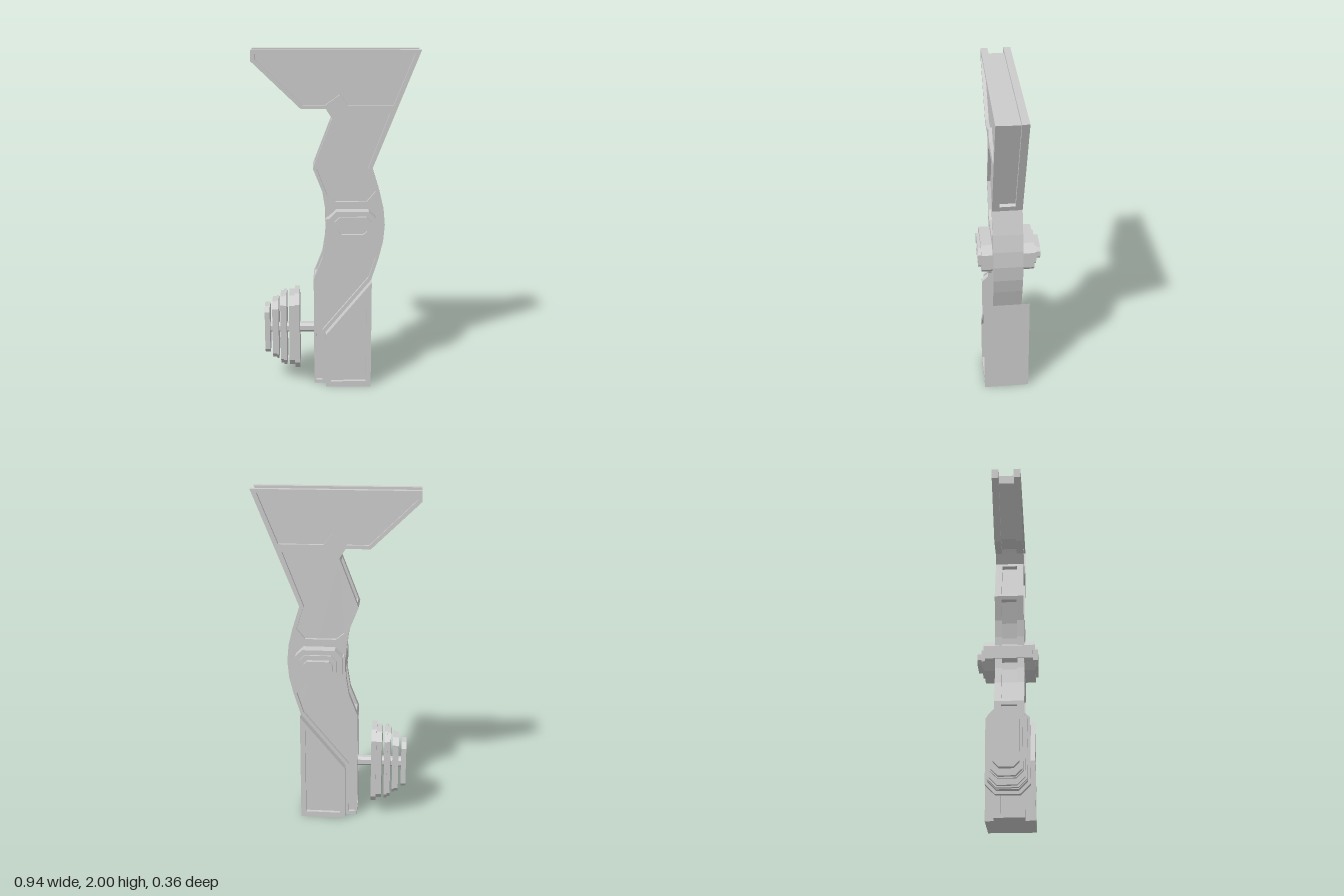
import * as THREE from 'three';

const material = new THREE.MeshStandardMaterial({ color: 0xcccccc });
const toPoints = (pts) => pts.map(([x, y]) => new THREE.Vector2(x, y));

// Flat slab with an outline in x/y, running from z0 to z1, with optional holes
function slab(name, outline, z0, z1, holes = []) {
  const shape = new THREE.Shape(toPoints(outline));
  holes.forEach((h) => shape.holes.push(new THREE.Path(toPoints(h))));
  const geometry = new THREE.ExtrudeGeometry(shape, { depth: z1 - z0, bevelEnabled: false });
  geometry.translate(0, 0, z0);
  const mesh = new THREE.Mesh(geometry, material);
  mesh.name = name;
  return mesh;
}

// Rectangle with cut corners
function octagon(cx, cy, hw, hh, c) {
  return [
    [cx - hw + c, cy - hh], [cx + hw - c, cy - hh], [cx + hw, cy - hh + c], [cx + hw, cy + hh - c],
    [cx + hw - c, cy + hh], [cx - hw + c, cy + hh], [cx - hw, cy + hh - c], [cx - hw, cy - hh + c],
  ];
}

// Points of a groove cut into the edge a-b (solid on the left of a-b), leaving a bar at each end
function groove(a, b, depth = 0.025, bar = 0.022) {
  const dx = b[0] - a[0], dy = b[1] - a[1], len = Math.hypot(dx, dy);
  const ux = dx / len, uy = dy / len;
  const at = (t, d) => [a[0] + ux * t - uy * d, a[1] + uy * t + ux * d];
  return [a, at(bar, 0), at(bar, depth), at(len - bar, depth), at(len - bar, 0)];
}

// Side outline of the arm, counter-clockwise from the bottom
const rightEdge = [[0.205, 0], [0.205, 0.665], [0.247, 0.8], [0.271, 0.9], [0.28, 1], [0.271, 1.1], [0.247, 1.2], [0.205, 1.335]];
const head = [[0.47, 2], [-0.475, 2], [-0.475, 1.94], [-0.2, 1.675], [-0.06, 1.675]];
const neck = [-0.025, 1.62], elbow = [-0.135, 1.335], knee = [-0.135, 0.665], foot = [-0.135, 0];
const waist = [[-0.082, 1.2], [-0.066, 1.1], [-0.06, 1], [-0.066, 0.9], [-0.082, 0.8]];
const outline = [...rightEdge, ...head, neck, elbow, ...waist, knee, foot];

// Middle layer: the same outline with grooves along its edges
const coreOutline = [
  ...rightEdge,
  [0.219, 1.37], [0.2, 1.378], [0.445, 1.985], [-0.43, 1.985], [-0.43, 1.93],
  [-0.19, 1.698], [-0.075, 1.698], [-0.06, 1.675],
  ...groove(neck, elbow),
  elbow, [-0.127, 1.315], [-0.104, 1.31], [-0.058, 1.19], [-0.041, 1.1], [-0.035, 1],
  [-0.041, 0.9], [-0.058, 0.81], [-0.104, 0.69], [-0.127, 0.685],
  ...groove(knee, foot),
  foot,
];

// Sunken panels on both faces of the arm
const panels = [
  [[-0.452, 1.98], [0.435, 1.98], [0.32, 1.695], [0.065, 1.695], [0.02, 1.755], [-0.065, 1.695], [-0.19, 1.695], [-0.452, 1.95]],
  [[0.06, 1.65], [0.3, 1.65], [0.18, 1.335], [0.225, 1.2], [0.175, 1.14], [-0.005, 1.14], [-0.055, 1.18], [-0.115, 1.335], [0, 1.61]],
  [[-0.122, 0.02], [-0.085, 0.02], [-0.085, 0.345], [0.19, 0.68], [0.228, 0.8], [0.175, 0.875], [-0.01, 0.875], [-0.058, 0.82], [-0.122, 0.66]],
];

export function createModel() {
  const model = new THREE.Group();
  model.name = 'bracketArm';

  // Arm: grooved core between two panelled plates
  model.add(
    slab('armCore', coreOutline, -0.03, 0.06),
    slab('frontPlate', outline, 0.06, 0.08),
    slab('frontPanelFrame', outline, 0.08, 0.1, panels),
    slab('backPlate', outline, -0.05, -0.03),
    slab('backPanelFrame', outline, -0.07, -0.05, panels),
  );

  // Wide base block with a sunken panel on each face
  const base = [[-0.065, 0], [0.205, 0], [0.205, 0.665], [-0.065, 0.335]];
  const basePanel = [[-0.035, 0.035], [0.175, 0.035], [0.175, 0.585], [-0.035, 0.325]];
  model.add(
    slab('baseBlock', base, -0.1, 0.135),
    slab('baseFrontFrame', base, 0.135, 0.155, [basePanel]),
    slab('baseBackFrame', base, -0.12, -0.1, [basePanel]),
  );

  // Stepped pivot boss through the middle
  const ring = octagon(0.093, 1.003, 0.107, 0.065, 0.03);
  const cap = octagon(0.09, 1.003, 0.083, 0.038, 0.02);
  model.add(
    slab('pivotBoss', octagon(0.09, 1.003, 0.137, 0.093, 0.043), -0.14, 0.163),
    slab('pivotFrontRing', ring, 0.163, 0.18, [cap]),
    slab('pivotBackRing', ring, -0.153, -0.14),
    slab('pivotBackCap', cap, -0.18, -0.153),
    slab('pivotTab', octagon(-0.04, 1.003, 0.024, 0.05, 0.01), -0.128, 0.15),
  );

  // Stack of cut-corner pads on a stem, pointing to the right side
  const pads = new THREE.Group();
  pads.name = 'sidePads';
  pads.rotation.y = -Math.PI / 2;
  const cz = 0.013, cy = 0.335;
  pads.add(slab('padStem', octagon(cz, cy, 0.028, 0.028, 0.014), 0.12, 0.41));
  [
    [0.22, 0.25, 0.121, 0.239],
    [0.25, 0.283, 0.106, 0.223],
    [0.298, 0.316, 0.106, 0.223],
    [0.316, 0.335, 0.095, 0.215],
    [0.347, 0.36, 0.088, 0.186],
    [0.36, 0.384, 0.082, 0.18],
    [0.4, 0.43, 0.068, 0.148],
  ].forEach(([x0, x1, hw, hh], i) => {
    pads.add(slab('pad' + (i + 1), octagon(cz, cy, hw, hh, hw * 0.45), x0, x1));
  });
  model.add(pads);

  return model;
}
